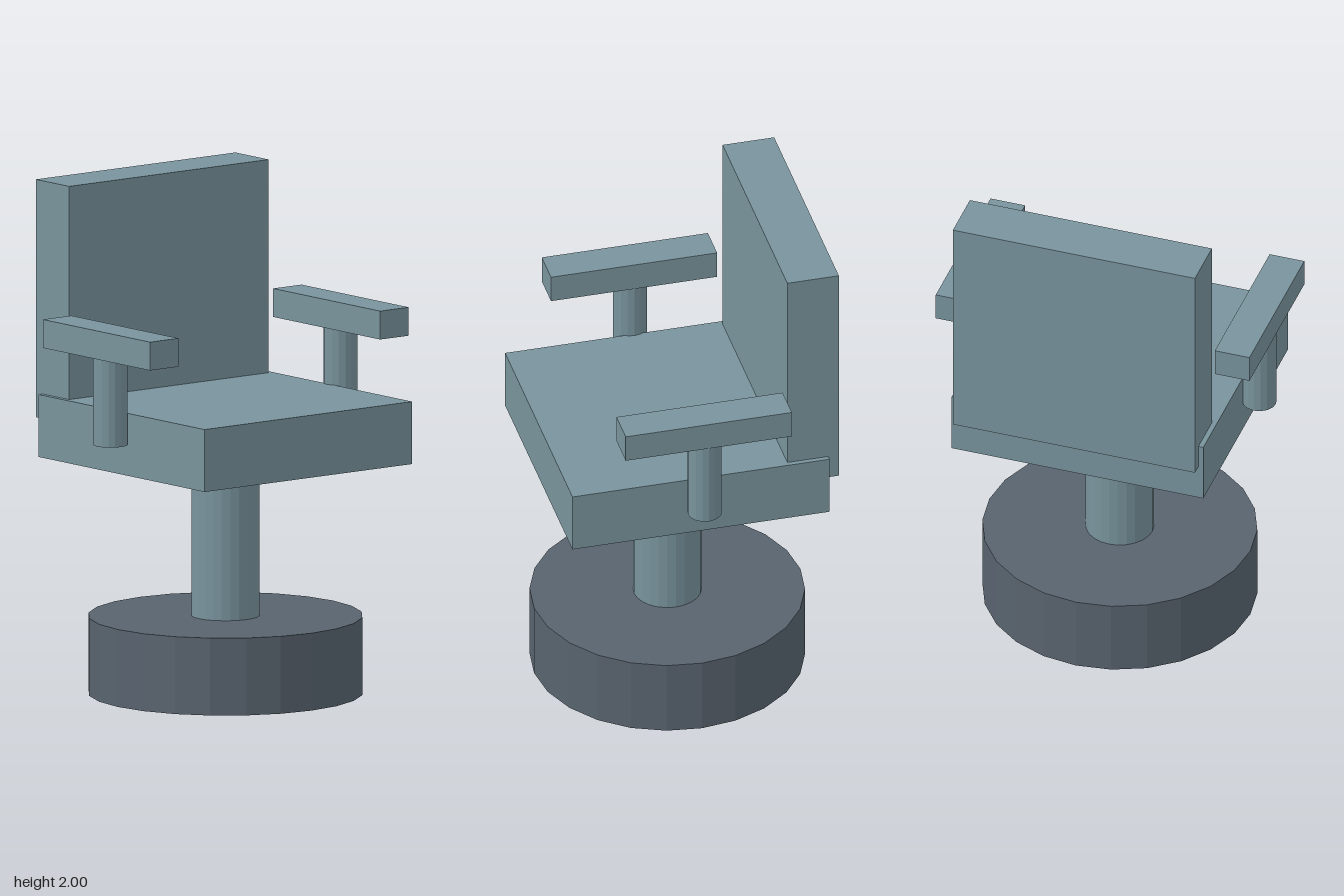
import * as THREE from 'three';

export function createModel() {
  const chair = new THREE.Group();
  chair.name = 'swivelArmchair';

  const upholstery = new THREE.MeshStandardMaterial({ color: 0x78939c });
  upholstery.name = 'blue grey';
  const dark = new THREE.MeshStandardMaterial({ color: 0x58636e });
  dark.name = 'dark slate';
  // The round parts are faceted
  upholstery.flatShading = dark.flatShading = true;

  const axisZ = 0.012; // the base, column, seat and arms share this centre line

  function add(name, geometry, material, x, y, z) {
    const mesh = new THREE.Mesh(geometry, material);
    mesh.name = name;
    mesh.position.set(x, y, z);
    chair.add(mesh);
  }

  // Box and upright cylinder, placed by their lower and upper heights
  function box(name, width, y0, y1, depth, x, z) {
    add(name, new THREE.BoxGeometry(width, y1 - y0, depth), upholstery, x, (y0 + y1) / 2, z);
  }
  function cylinder(name, radius, y0, y1, sides, material, x) {
    add(name, new THREE.CylinderGeometry(radius, radius, y1 - y0, sides), material, x, (y0 + y1) / 2, axisZ);
  }

  // Pedestal
  cylinder('base', 0.535, 0, 0.305, 24, dark, 0);
  cylinder('column', 0.133, 0.305, 0.914, 24, upholstery, 0);

  // Seat and backrest
  box('seat', 1.032, 0.914, 1.16, 1.032, 0, axisZ);
  box('backrest', 0.992, 1.063, 2, 0.207, 0, -0.4435);

  // Arms, one on each side
  for (const [side, s] of [['left', 1], ['right', -1]]) {
    cylinder(side + 'ArmPost', 0.067, 1.037, 1.382, 16, upholstery, s * 0.572);
    box(side + 'Armrest', 0.142, 1.382, 1.494, 0.667, s * 0.572, 0.014);
  }

  return chair;
}
